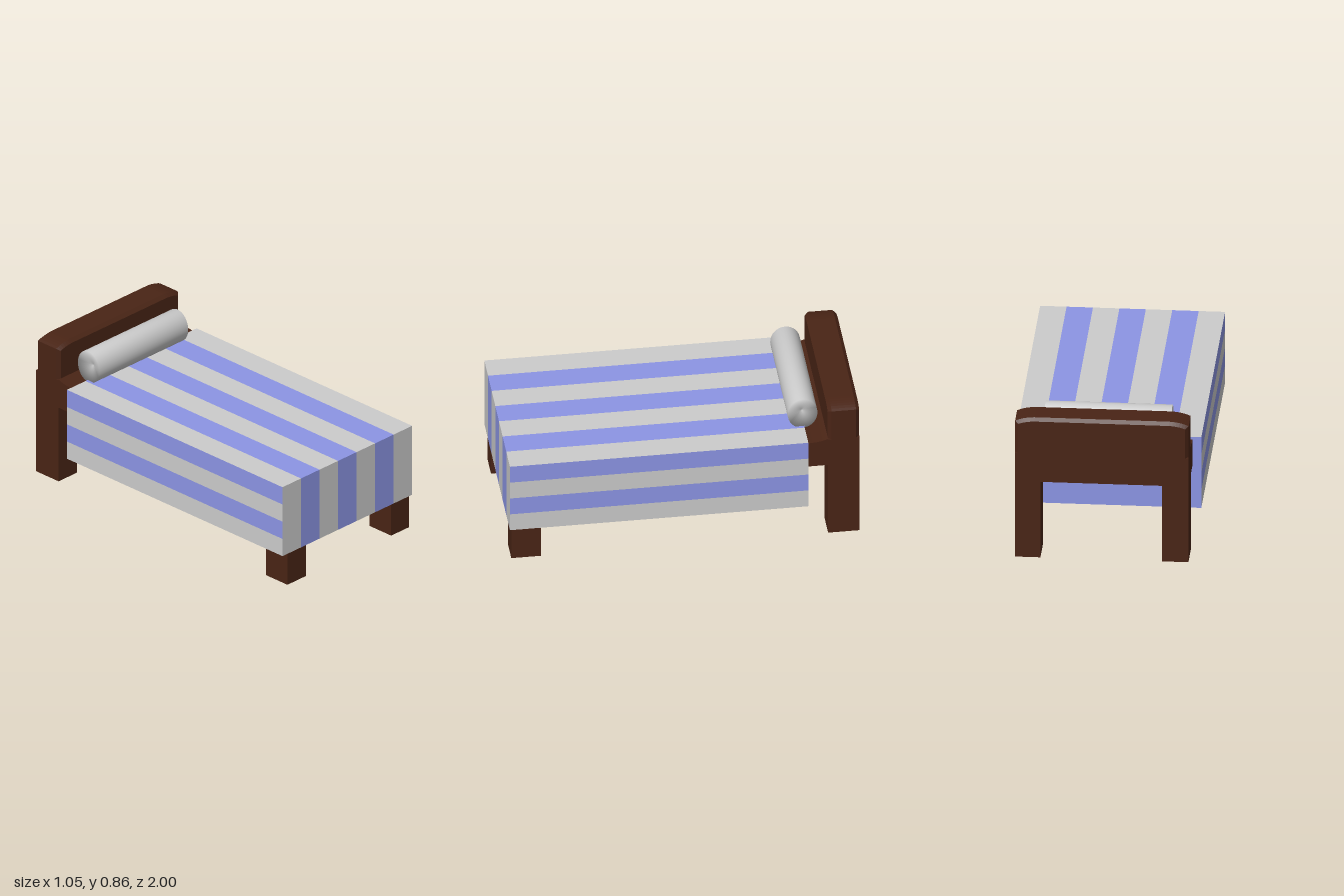
import * as THREE from 'three';

const wood = new THREE.MeshStandardMaterial({ color: 0x492415 });
const grey = new THREE.MeshStandardMaterial({ color: 0xcccccc });
const greyCloth = new THREE.MeshStandardMaterial({ color: 0xcccccc, side: THREE.DoubleSide });
const blueCloth = new THREE.MeshStandardMaterial({ color: 0x8c95e5, side: THREE.DoubleSide });

// Extent of the wooden parts across the bed
const X0 = -0.475, X1 = 0.51;

function add(parent, name, geometry, material) {
  const mesh = new THREE.Mesh(geometry, material);
  mesh.name = name;
  parent.add(mesh);
  return mesh;
}

// Box given by its min and max corners
function block(parent, name, [x0, y0, z0], [x1, y1, z1]) {
  const g = new THREE.BoxGeometry(x1 - x0, y1 - y0, z1 - z0);
  g.translate((x0 + x1) / 2, (y0 + y1) / 2, (z0 + z1) / 2);
  return add(parent, name, g, wood);
}

function makeFrame() {
  const frame = new THREE.Group();
  frame.name = 'woodenFrame';

  // Legs: short pair at the foot, posts at the head
  for (const [x0, x1] of [[X0, -0.325], [0.365, X1]]) {
    block(frame, 'frontLeg', [x0, 0, 0.82], [x1, 0.47, 0.99]);
    block(frame, 'headboardPost', [x0, 0, -1], [x1, 0.47, -0.82]);
  }

  // Bed base: side profile (z, y) with a small rise into the headboard
  const side = new THREE.Shape();
  side.moveTo(0.99, 0.47);
  side.lineTo(0.99, 0.63);
  side.lineTo(-0.71, 0.63);
  side.quadraticCurveTo(-0.78, 0.632, -0.82, 0.65);
  side.lineTo(-0.82, 0.47);
  const base = add(frame, 'bedBase',
    new THREE.ExtrudeGeometry(side, { depth: X1 - X0, bevelEnabled: false, curveSegments: 6 }), wood);
  base.rotation.y = -Math.PI / 2;
  base.position.x = X1;

  // Headboard: square lower rail, bevelled upper panel with rounded shoulders
  block(frame, 'headboardRail', [X0, 0.47, -1], [X1, 0.645, -0.82]);
  const panel = new THREE.Shape();
  panel.moveTo(X0, 0.6);
  panel.lineTo(X1, 0.6);
  panel.lineTo(X1, 0.838);
  panel.quadraticCurveTo(X1 - 0.05, 0.86, X1 - 0.11, 0.862);
  panel.lineTo(X0 + 0.11, 0.862);
  panel.quadraticCurveTo(X0 + 0.05, 0.86, X0, 0.838);
  const top = add(frame, 'headboardPanel', new THREE.ExtrudeGeometry(panel, {
    depth: 0.14, bevelSize: 0.018, bevelThickness: 0.02, bevelOffset: -0.018,
    bevelSegments: 1, curveSegments: 6,
  }), wood);
  top.position.z = -0.98;
  return frame;
}

function makeBlanket() {
  const blanket = new THREE.Group();
  blanket.name = 'blanket';
  const half = 0.525, bottom = 0.205, topY = 0.645, back = -0.705, front = 1;
  const length = front - back, midZ = (front + back) / 2;
  const height = topY - bottom, midY = (topY + bottom) / 2;

  // Lengthwise stripes over the top and down the foot end
  for (let i = 0; i < 7; i++) {
    const cloth = i % 2 ? blueCloth : greyCloth;
    const x = -half + 0.15 * (i + 0.5);
    const top = add(blanket, 'topStripe', new THREE.PlaneGeometry(0.15, length), cloth);
    top.rotation.x = -Math.PI / 2;
    top.position.set(x, topY, midZ);
    add(blanket, 'footStripe', new THREE.PlaneGeometry(0.15, height), cloth)
      .position.set(x, midY, front);
  }

  // Horizontal stripes on both sides
  const h = height / 4;
  for (const s of [-1, 1]) {
    for (let i = 0; i < 4; i++) {
      const stripe = add(blanket, 'sideStripe', new THREE.PlaneGeometry(length, h), i % 2 ? blueCloth : greyCloth);
      stripe.rotation.y = s * Math.PI / 2;
      stripe.position.set(s * half, bottom + h * (i + 0.5), midZ);
    }
  }

  // Plain panel at the head end
  const head = add(blanket, 'headPanel', new THREE.PlaneGeometry(half * 2, height), blueCloth);
  head.rotation.y = Math.PI;
  head.position.set(0, midY, back);
  return blanket;
}

// Bolster pillow: oval roll with dished ends
function makePillow() {
  const profile = [[0, -0.32], [0.1, -0.36], [0.1, 0.36], [0, 0.32]]
    .map(([r, y]) => new THREE.Vector2(r, y));
  const g = new THREE.LatheGeometry(profile, 32);
  g.rotateZ(Math.PI / 2);
  g.scale(1, 0.98, 0.85);
  g.translate(0, 0.733, -0.695);
  const pillow = new THREE.Mesh(g, grey);
  pillow.name = 'pillow';
  return pillow;
}

export function createModel() {
  const bed = new THREE.Group();
  bed.name = 'bed';
  bed.add(makeFrame(), makeBlanket(), makePillow());
  return bed;
}
